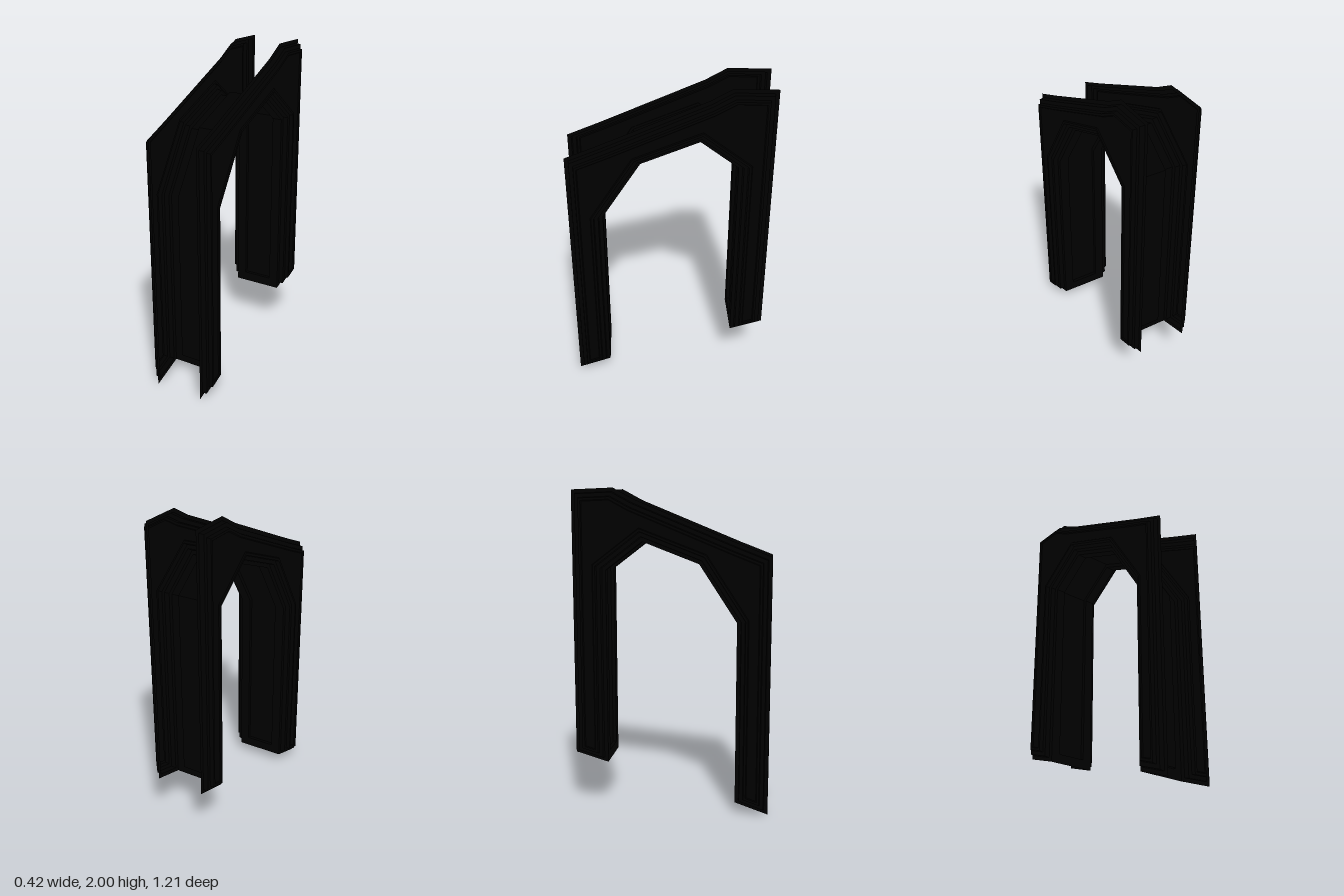
import * as THREE from 'three';

// Side profile as [z, y]: outer edge from front foot over the top, then the inner edge back
const OUTER = [[0.605, 0], [0.605, 1.595], [0.4, 1.675], [-0.22, 1.93], [-0.35, 2], [-0.605, 1.99], [-0.605, 0.36]];
const INNER = [[-0.4, 0.3], [-0.4, 1.51], [-0.175, 1.682], [0.17, 1.55], [0.4, 1.2], [0.4, 0.07]];
const PROFILE = [...OUTER, ...INNER];

// Cross-section of the side frame: [inset from the profile, distance from the middle]
const FRAME_STEPS = [[0, 0.155], [0.023, 0.157], [0.027, 0.187], [0.05, 0.188], [0.054, 0.212], [0.068, 0.212], [0.073, 0.205]];

// Move every edge of a counterclockwise outline inwards by d
function inset(points, d) {
  const n = points.length;
  return points.map((p, i) => {
    const a = points[(i + n - 1) % n], b = points[(i + 1) % n];
    const l1 = Math.hypot(p[0] - a[0], p[1] - a[1]), l2 = Math.hypot(b[0] - p[0], b[1] - p[1]);
    const n1 = [-(p[1] - a[1]) / l1, (p[0] - a[0]) / l1];
    const n2 = [-(b[1] - p[1]) / l2, (b[0] - p[0]) / l2];
    const k = d / (1 + n1[0] * n2[0] + n1[1] * n2[1]);
    return [p[0] + (n1[0] + n2[0]) * k, p[1] + (n1[1] + n2[1]) * k];
  });
}

// Place a [z, y] outline at a given x
const at = (outline, x) => outline.map(([z, y]) => [x, y, z]);

// Flat-shaded surface through a list of equally long rows of points
function loft(rows) {
  const pos = [];
  for (let r = 0; r < rows.length - 1; r++) {
    for (let i = 0; i < rows[r].length - 1; i++) {
      const a = rows[r][i], b = rows[r + 1][i], c = rows[r + 1][i + 1], d = rows[r][i + 1];
      pos.push(...a, ...c, ...b, ...a, ...d, ...c);
    }
  }
  const g = new THREE.BufferGeometry();
  g.setAttribute('position', new THREE.Float32BufferAttribute(pos, 3));
  g.computeVertexNormals();
  return g;
}

// Flat sheet filling a [z, y] outline at a given x
function sheet(outline, x) {
  const g = new THREE.ShapeGeometry(new THREE.Shape(outline.map(([z, y]) => new THREE.Vector2(z, y))));
  g.rotateY(-Math.PI / 2);
  g.translate(x, 0, 0);
  return g;
}

export function createModel() {
  const black = new THREE.MeshStandardMaterial({ color: 0x000000, side: THREE.DoubleSide });
  black.name = 'black';

  const group = new THREE.Group();
  const add = (name, geometry) => {
    const mesh = new THREE.Mesh(geometry, black);
    mesh.name = name;
    group.add(mesh);
  };

  // Inner lining with a sunken centre panel
  const deep = inset(PROFILE, 0.022).slice(OUTER.length);
  const last = deep.length - 1;
  deep[0][1] = 0.36;
  deep[last][1] = 0.13;
  const ledgeBack = [-0.4, 0.36], ledgeFront = [0.4, 0.13];
  const panelPath = [INNER[0], ledgeBack, ...deep, ledgeFront, INNER[last]];
  const panelSide = [ledgeBack, ...INNER.slice(1, -1), ledgeFront, ...deep.slice().reverse()];
  add('liningPanel', loft([at(panelPath, -0.094), at(panelPath, 0.094)]));

  for (const [side, name] of [[1, 'left'], [-1, 'right']]) {
    add(name + 'LiningEdge', loft([at(INNER, side * 0.094), at(INNER, side * 0.155)]));
    add(name + 'LiningPanelSide', sheet(panelSide, side * 0.094));

    // Hollow side frame: stepped mouldings around a flat panel
    const rows = FRAME_STEPS.map(([d, x]) => {
      const outline = inset(PROFILE, d);
      return at([...outline, outline[0]], side * x);
    });
    const [panelInset, panelX] = FRAME_STEPS[FRAME_STEPS.length - 1];
    add(name + 'Moulding', loft(rows));
    add(name + 'Panel', sheet(inset(PROFILE, panelInset), side * panelX));
  }
  return group;
}
